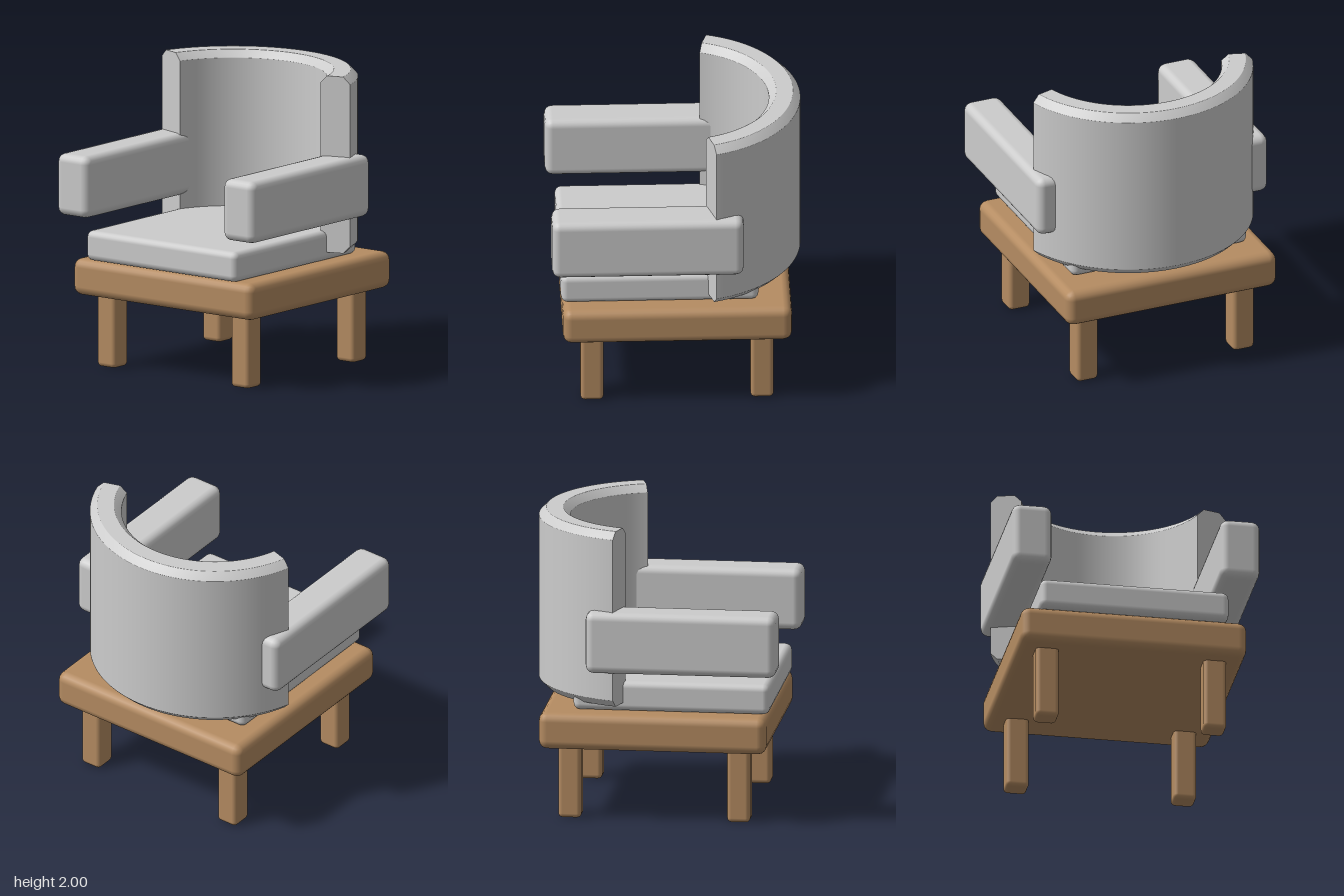
import * as THREE from 'three';
import { RoundedBoxGeometry } from 'three/addons/geometries/RoundedBoxGeometry.js';

const fabric = new THREE.MeshStandardMaterial({ color: 0xcccccc });
fabric.name = 'greyFabric';
const wood = new THREE.MeshStandardMaterial({ color: 0xb58c62 });
wood.name = 'brownWood';

// Rounded box given by its extents on each axis
function block(name, material, [x0, x1], [y0, y1], [z0, z1], radius) {
  const geometry = new RoundedBoxGeometry(x1 - x0, y1 - y0, z1 - z0, 2, radius);
  const mesh = new THREE.Mesh(geometry, material);
  mesh.name = name;
  mesh.position.set((x0 + x1) / 2, (y0 + y1) / 2, (z0 + z1) / 2);
  return mesh;
}

// Curved backrest: a chamfered section swept round an arc, with flat ends
function createBackrest() {
  const group = new THREE.Group();
  group.name = 'backrest';
  const inner = 0.625, outer = 0.835, bottom = 0.8, top = 2, c = 0.047, e = 0.004;
  const mid = (inner + outer) / 2;
  // points a small step e from each chamfer keep the broad faces evenly shaded
  const profile = [
    [mid, bottom], [outer - c - e, bottom], [outer - c, bottom],
    [outer, bottom + c], [outer, bottom + c + e],
    [outer, top - c - e], [outer, top - c],
    [outer - c, top], [outer - c - e, top],
    [inner + c + e, top], [inner + c, top],
    [inner, top - c], [inner, top - c - e],
    [inner, bottom + c + e], [inner, bottom + c],
    [inner + c, bottom], [inner + c + e, bottom], [mid, bottom],
  ].map(([r, y]) => new THREE.Vector2(r, y));

  const start = Math.PI / 2 + 0.3;
  const sweep = Math.PI - 0.6;
  const shell = new THREE.Mesh(new THREE.LatheGeometry(profile, 40, start, sweep), fabric);
  shell.name = 'backrestShell';
  group.add(shell);

  for (const side of [1, -1]) {
    const outline = profile.slice(0, -1).map(p => new THREE.Vector2(side * p.x, p.y));
    const cap = new THREE.Mesh(new THREE.ShapeGeometry(new THREE.Shape(outline)), fabric);
    cap.name = side > 0 ? 'backrestLeftEnd' : 'backrestRightEnd';
    cap.rotation.y = side * 0.3;
    group.add(cap);
  }
  group.position.z = -0.01;
  return group;
}

export function createModel() {
  const model = new THREE.Group();
  model.name = 'armchair';

  // Wooden base and cushion
  model.add(block('base', wood, [-0.765, 0.765], [0.49, 0.74], [-0.765, 0.765], 0.06));
  model.add(block('seatCushion', fabric, [-0.64, 0.64], [0.74, 0.945], [-0.545, 0.775], 0.045));

  // Arms and legs, mirrored left and right
  for (const s of [1, -1]) {
    const side = s > 0 ? 'left' : 'right';
    const span = (a, b) => (s > 0 ? [a, b] : [-b, -a]);
    model.add(block(side + 'Arm', fabric, span(0.57, 0.84), [1.035, 1.455], [-0.44, 0.84], 0.055));
    model.add(block(side + 'FrontLeg', wood, span(0.49, 0.645), [0, 0.53], [0.49, 0.645], 0.03));
    model.add(block(side + 'BackLeg', wood, span(0.49, 0.645), [0, 0.53], [-0.645, -0.49], 0.03));
  }

  model.add(createBackrest());
  return model;
}
